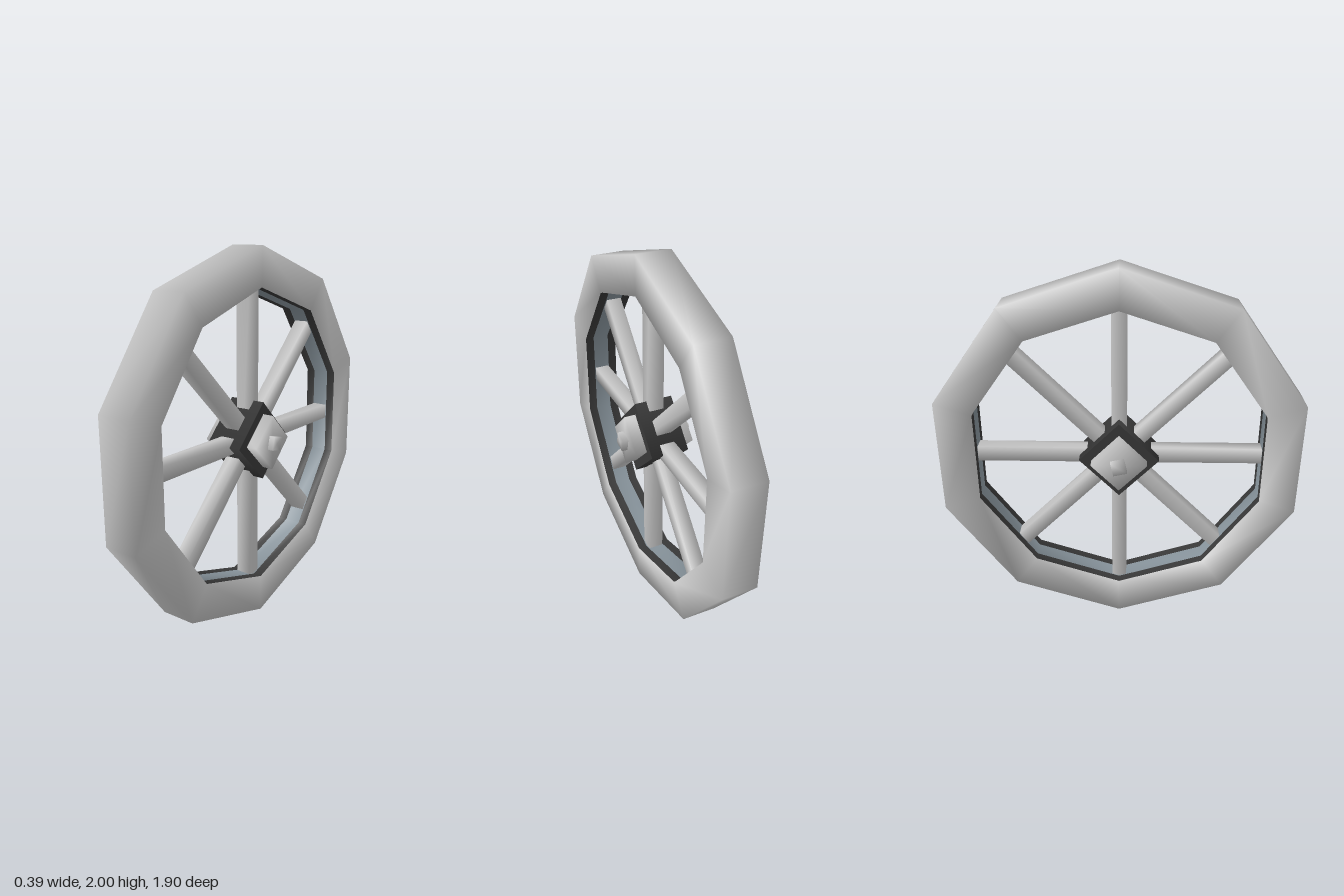
import * as THREE from 'three';
import { mergeVertices } from 'three/addons/utils/BufferGeometryUtils.js';

const paleGrey = new THREE.MeshStandardMaterial({ name: 'pale grey', color: 0xc7c7c7 });
const darkGrey = new THREE.MeshStandardMaterial({ name: 'dark grey', color: 0x383838 });
const slate = new THREE.MeshStandardMaterial({ name: 'slate', color: 0x86929a });

// Weld shared corners so the normals blend across the edges
function smooth(geometry) {
  geometry.deleteAttribute('normal');
  geometry.deleteAttribute('uv');
  const welded = mergeVertices(geometry, 1e-4);
  welded.computeVertexNormals();
  return welded;
}

// Four-sided bar along y; turn is the angle of its first corner
function squareBar(radius, length, turn) {
  return new THREE.CylinderGeometry(radius, radius, length, 4, 1, false, turn);
}

// Ten-sided ring around the x axis, a corner at the top; points are [radius, x]
function tenSidedRing(points) {
  const profile = points.map(([r, x]) => new THREE.Vector2(r, x));
  const ring = new THREE.LatheGeometry(profile, 10, Math.PI / 2);
  ring.rotateZ(-Math.PI / 2);
  return smooth(ring);
}

export function createModel() {
  const wheel = new THREE.Group();
  wheel.name = 'wheel';
  const add = (name, geometry, material) => {
    const mesh = new THREE.Mesh(geometry, material);
    mesh.name = name;
    mesh.position.y = 1;
    wheel.add(mesh);
    return mesh;
  };

  // Rim with a square section
  const halfWidth = 0.093, outer = 1, inner = 0.797;
  add('rim', tenSidedRing([
    [outer, -halfWidth], [outer, halfWidth], [inner, halfWidth],
    [inner, -halfWidth], [outer, -halfWidth],
  ]), paleGrey);

  // Thin lining on the inside of the rim: slate middle, dark edges
  const liner = 0.794, middle = 0.045;
  const band = (from, to) => tenSidedRing([[liner, from], [liner, to]]);
  add('liningMiddle', band(middle, -middle), slate);
  add('liningLeftEdge', band(halfWidth, middle), darkGrey);
  add('liningRightEdge', band(-middle, -halfWidth), darkGrey);

  // Four bars through the hub make eight spokes
  for (let i = 0; i < 4; i++) {
    const bar = smooth(squareBar(0.057, 1.6, Math.PI / 4));
    add('spokePair' + (i + 1), bar, paleGrey).rotation.x = i * Math.PI / 4;
  }

  // Diamond hub
  const hub = squareBar(0.21, 0.206, 0);
  hub.rotateZ(-Math.PI / 2);
  add('hub', hub, darkGrey);

  // Bearing block and slightly twisted axle, showing on both sides
  const bearing = squareBar(0.146, 0.326, 0);
  bearing.rotateZ(-Math.PI / 2);
  add('bearing', smooth(bearing), paleGrey);

  const axle = squareBar(0.051, 0.388, THREE.MathUtils.degToRad(32));
  axle.rotateZ(-Math.PI / 2);
  add('axle', smooth(axle), paleGrey);

  return wheel;
}
